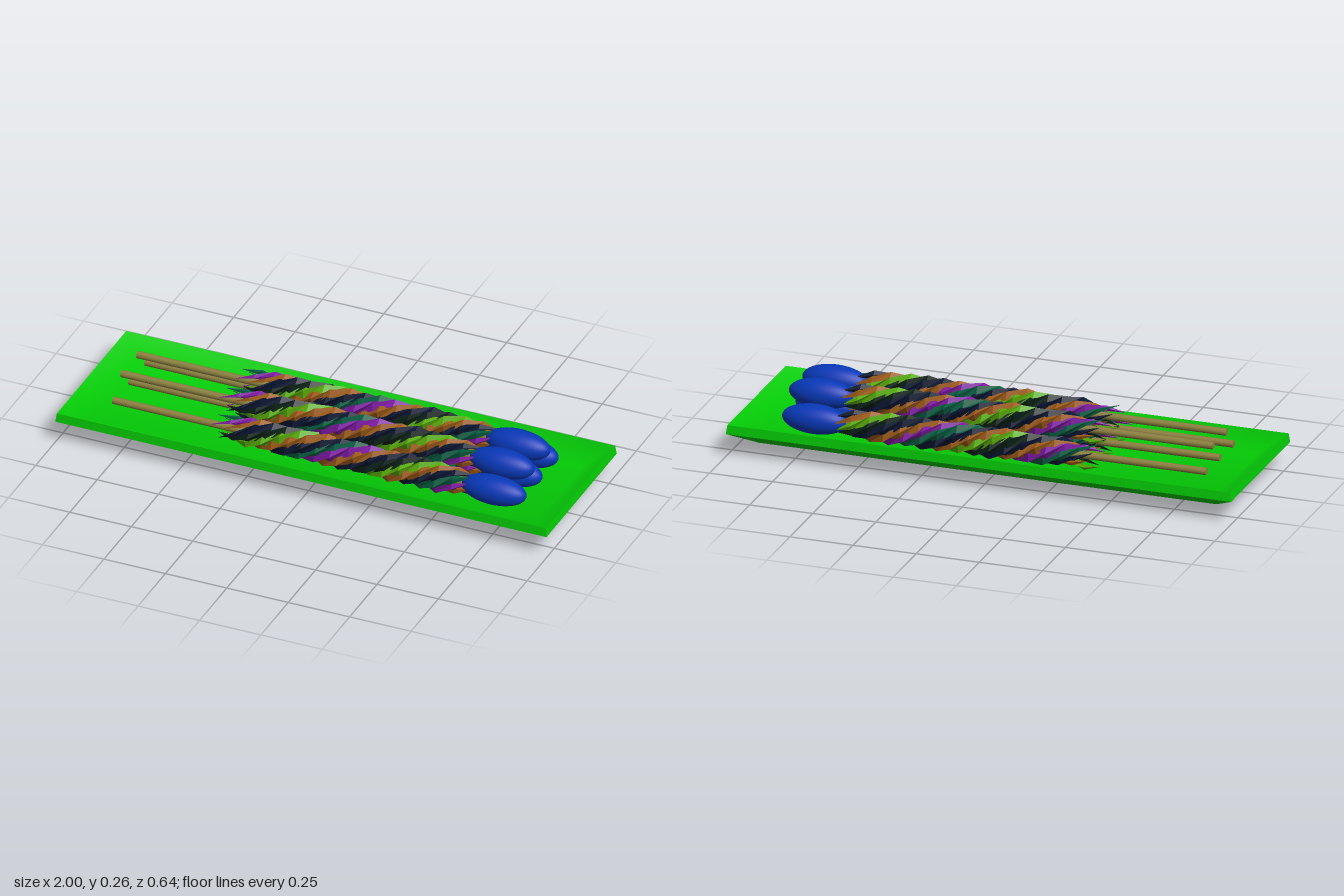
import * as THREE from 'three';
import { toCreasedNormals } from 'three/addons/utils/BufferGeometryUtils.js';

const mat = (color, flatShading = false) => new THREE.MeshStandardMaterial({ color, flatShading });

function add(parent, name, geometry, material) {
  const mesh = new THREE.Mesh(geometry, material);
  mesh.name = name;
  parent.add(mesh);
  return mesh;
}

// Indexed geometry from points and faces
function build(positions, indices) {
  const g = new THREE.BufferGeometry();
  g.setAttribute('position', new THREE.Float32BufferAttribute(positions, 3));
  g.setIndex(indices);
  g.computeVertexNormals();
  return g;
}

// Corners of a rectangle, counterclockwise
const rect = (hx, hy) => [[hx, hy], [-hx, hy], [-hx, -hy], [hx, -hy]];

// Shallow rectangular dish: outer bottom, rim and sunken floor as stacked loops
function dishGeometry() {
  const loops = [[0.905, 0.03, 0.22], [1, 0.09, 0.322], [0.995, 0.125, 0.318], [0.905, 0.066, 0.22]];
  const positions = loops.flatMap(([hx, y, hz]) => rect(hx, hz).flatMap(([x, z]) => [x, y, z]));
  const indices = [0, 3, 2, 0, 2, 1].map((i) => 3 - i); // underside
  for (let l = 0; l < 3; l++) {
    for (let k = 0; k < 4; k++) {
      const a = l * 4 + k, b = l * 4 + ((k + 1) % 4);
      indices.push(a, a + 4, b + 4, a, b + 4, b);
    }
  }
  indices.push(12, 15, 14, 12, 14, 13); // floor
  // wind the underside to face down
  indices.splice(0, 6, 0, 1, 2, 0, 2, 3);
  return toCreasedNormals(build(positions, indices), 0.8);
}

// Hollow rectangular foot, extruded upward
function footGeometry(hx, hz, ix, iz, height) {
  const points = (x, y) => rect(x, y).map(([px, py]) => new THREE.Vector2(px, py));
  const shape = new THREE.Shape(points(hx, hz));
  shape.holes.push(new THREE.Path(points(ix, iz).reverse()));
  return new THREE.ExtrudeGeometry(shape, { depth: height, bevelEnabled: false }).rotateX(-Math.PI / 2);
}

const PITCH = 0.52; // length of one full twist
const SIDES = 4;
const STEPS = 15;

// One faceted strand wound round the x axis; it crosses the top at x = topX
function strandGeometry(topX, index) {
  const startX = -0.43 + (0.05 * ((index * 3) % 4)) / 3;
  const endX = 0.625;
  const positions = [];
  const indices = [];
  for (let i = 0; i <= STEPS; i++) {
    const t = i / STEPS;
    const x = startX + (endX - startX) * t;
    const theta = (-2 * Math.PI * (x - topX)) / PITCH;
    // pointed at both ends, slightly uneven in between
    const taper = Math.max(0.04, Math.min(1, t / 0.16, (1 - t) / 0.1));
    const splay = t < 0.16 ? 0.012 * Math.cos(index * 2.1) * (1 - t / 0.16) : 0;
    const r = 0.036 + splay + 0.003 * Math.sin(i * 1.3 + index);
    for (let k = 0; k < SIDES; k++) {
      const a = (k / SIDES) * Math.PI * 2;
      const tangential = Math.cos(a) * 0.023 * taper;
      const radial = r + Math.sin(a) * 0.024 * taper;
      positions.push(
        x,
        Math.cos(theta) * radial - Math.sin(theta) * tangential,
        Math.sin(theta) * radial + Math.cos(theta) * tangential
      );
      if (i < STEPS) {
        const k2 = (k + 1) % SIDES;
        const p = i * SIDES, q = p + SIDES;
        indices.push(p + k, q + k, q + k2, p + k, q + k2, p + k2);
      }
    }
  }
  return build(positions, indices);
}

export function createModel() {
  const model = new THREE.Group();
  model.name = 'skewerPlatter';

  // Dished platter on a hollow foot
  const green = mat(0x04cc06);
  add(model, 'platter', dishGeometry(), green);
  add(model, 'foot', footGeometry(0.585, 0.14, 0.51, 0.088, 0.031), green);

  // Shared skewer parts
  const stickGeometry = new THREE.CylinderGeometry(0.014, 0.014, 1.44, 12).rotateZ(Math.PI / 2);
  const ballGeometry = new THREE.SphereGeometry(1, 32, 20).rotateZ(Math.PI / 2).scale(0.13, 0.057, 0.057);
  const stickMaterial = mat(0x8c8040);
  const ballMaterial = mat(0x0838b8);
  const colors = [0x58ac08, 0x9c5a18, 0x081430, 0x065c40, 0x7c18a0, 0x9c5a18, 0x081430, 0x0a2016];
  const strands = colors.map((color, i) => ({
    geometry: strandGeometry(-0.08 + (i * PITCH) / colors.length, i),
    material: mat(color, true),
  }));

  // Three skewers below, two resting on top
  const places = [[0.125, -0.147], [0.125, 0], [0.125, 0.147], [0.2, -0.073], [0.2, 0.073]];
  for (const [y, z] of places) {
    const skewer = new THREE.Group();
    skewer.name = 'skewer';
    skewer.position.set(0, y, z);
    add(skewer, 'stick', stickGeometry, stickMaterial).position.x = -0.12;
    add(skewer, 'endBall', ballGeometry, ballMaterial).position.x = 0.709;
    for (const s of strands) add(skewer, 'twistedStrand', s.geometry, s.material);
    model.add(skewer);
  }
  return model;
}
